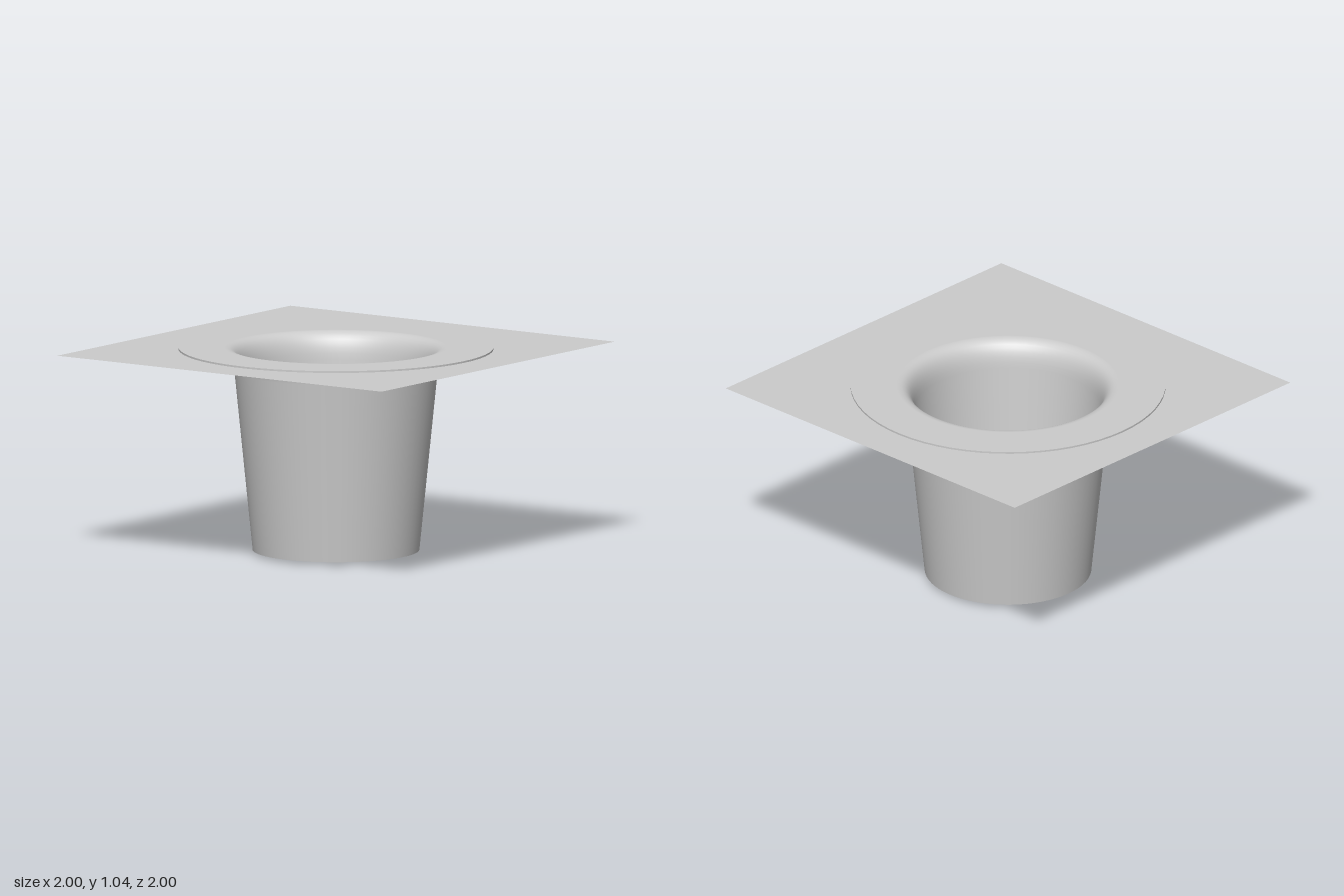
import * as THREE from 'three';

const SEGMENTS = 64;

// Points along a straight wall that flares into a rounded lip
function flare(bottom, start, corner, end) {
  const curve = new THREE.QuadraticBezierCurve(start, corner, end);
  return [bottom, ...curve.getPoints(8)];
}

const v = (r, y) => new THREE.Vector2(r, y);

export function createModel() {
  const model = new THREE.Group();
  const material = new THREE.MeshStandardMaterial({ color: 0xcccccc });
  const sheetMaterial = new THREE.MeshStandardMaterial({ color: 0xcccccc, side: THREE.DoubleSide });

  // Each profile is a smooth piece; joints between pieces stay sharp
  const profiles = {
    base: [v(0, 0.004), v(0.418, 0.02)],
    outerWall: flare(v(0.418, 0.02), v(0.51, 0.93), v(0.516, 0.985), v(0.535, 1.0)),
    flangeUnderside: [v(0.535, 1.0), v(0.79, 1.0)],
    flangeEdge: [v(0.79, 1.0), v(0.79, 1.047)],
    flangeTop: [v(0.79, 1.047), v(0.56, 1.047)],
    innerWall: [
      v(0.56, 1.047),
      ...flare(v(0.385, 0.055), v(0.468, 0.91), v(0.478, 1.04), v(0.55, 1.047)).reverse(),
    ],
    floor: [v(0.385, 0.055), v(0, 0.055)],
  };
  for (const [name, points] of Object.entries(profiles)) {
    const mesh = new THREE.Mesh(new THREE.LatheGeometry(points, SEGMENTS), material);
    mesh.name = name;
    model.add(mesh);
  }

  // Thin square sheet around the flange, open in the middle
  const square = new THREE.Shape([v(-1, -1), v(1, -1), v(1, 1), v(-1, 1)]);
  square.holes.push(new THREE.Path().absarc(0, 0, 0.78, 0, Math.PI * 2, true));
  const sheet = new THREE.Mesh(new THREE.ShapeGeometry(square, SEGMENTS), sheetMaterial);
  sheet.name = 'squareSheet';
  sheet.rotation.x = -Math.PI / 2;
  sheet.position.y = 1.038;
  model.add(sheet);

  return model;
}
